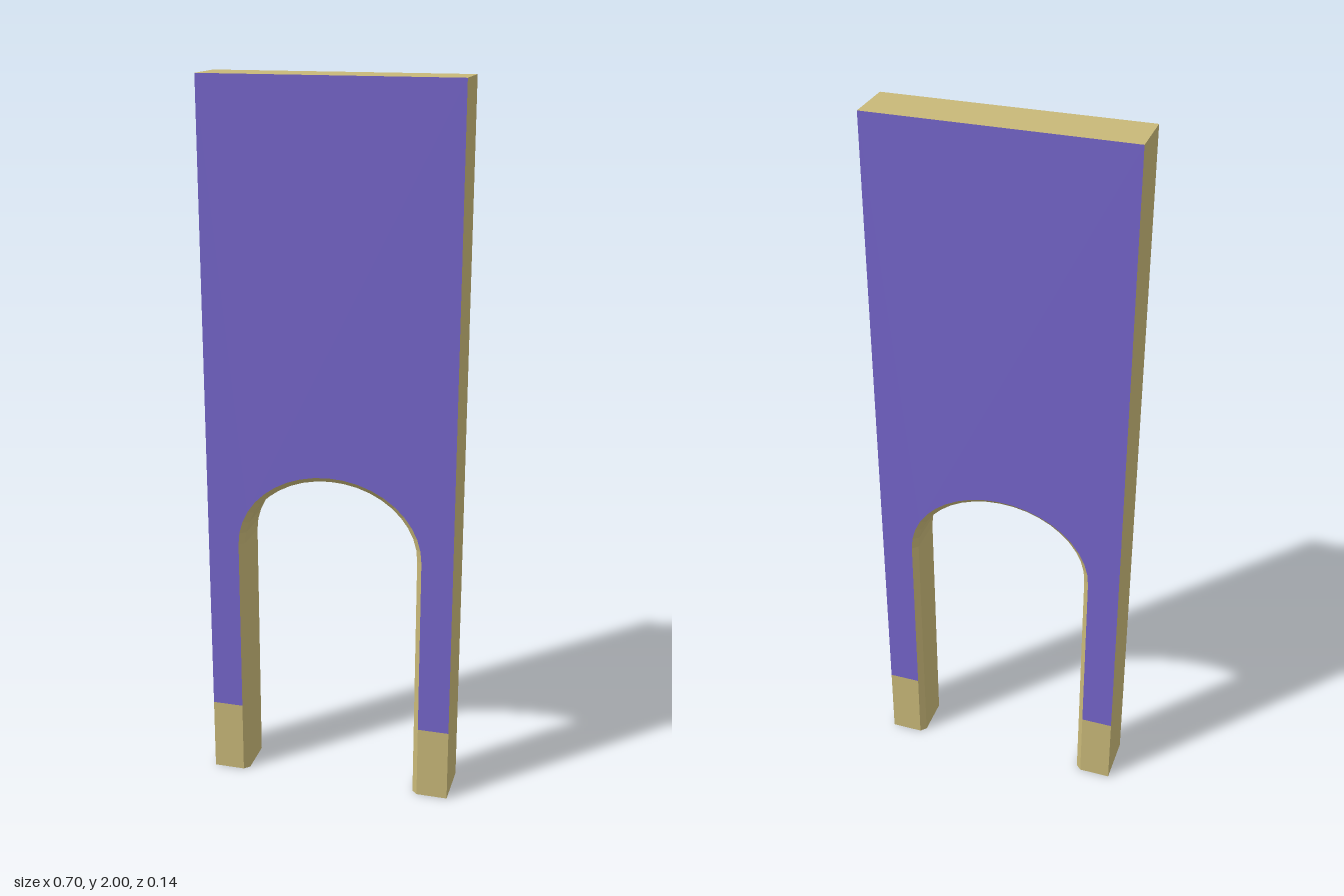
import * as THREE from 'three';

const W = 0.35, H = 2, D = 0.07;      // half width, height, half depth
const OPEN = 0.262, SPRING = 0.72, RISE = 0.222; // opening at the wall faces
const CHAMFER = 0.015, BASE = 0.21, SEGMENTS = 20;

const stone = new THREE.MeshStandardMaterial({ color: 0xc8b878 });
const paint = new THREE.MeshStandardMaterial({ color: 0x7565ca });

// Opening outline, from the foot at +x over the arch to the foot at -x
function archOutline(inset, yBottom = 0) {
  const points = [new THREE.Vector2(OPEN - inset, yBottom)];
  for (let i = 0; i <= SEGMENTS; i++) {
    const a = (Math.PI * i) / SEGMENTS;
    points.push(new THREE.Vector2((OPEN - inset) * Math.cos(a), SPRING + (RISE - inset) * Math.sin(a)));
  }
  points.push(new THREE.Vector2(-(OPEN - inset), yBottom));
  return points;
}

// Chamfered lining: a cross-section swept along the opening
function liningGeometry() {
  const section = [[0, -D], [CHAMFER, CHAMFER - D], [CHAMFER, D - CHAMFER], [0, D]];
  const rails = section.map(([inset, z]) => archOutline(inset).map((p) => [p.x, p.y, z]));
  const pos = [];
  for (let j = 0; j < 3; j++) {
    for (let i = 0; i < rails[0].length - 1; i++) {
      const a = rails[j][i], b = rails[j][i + 1], c = rails[j + 1][i + 1], d = rails[j + 1][i];
      pos.push(...a, ...d, ...c, ...a, ...c, ...b);
    }
  }
  const g = new THREE.BufferGeometry();
  g.setAttribute('position', new THREE.Float32BufferAttribute(pos, 3));
  g.computeVertexNormals();
  return g;
}

export function createModel() {
  const group = new THREE.Group();
  const add = (name, geometry, material) => {
    const mesh = new THREE.Mesh(geometry, material);
    mesh.name = name;
    group.add(mesh);
  };

  const panel = new THREE.Shape([
    new THREE.Vector2(-W, BASE), new THREE.Vector2(-W, H),
    new THREE.Vector2(W, H), new THREE.Vector2(W, BASE),
    ...archOutline(0, BASE),
  ]);
  // Underside of one leg, in x and z
  const sole = new THREE.Shape([
    [W, -D], [W, D], [OPEN, D], [OPEN - CHAMFER, D - CHAMFER],
    [OPEN - CHAMFER, CHAMFER - D], [OPEN, -D],
  ].map(([x, z]) => new THREE.Vector2(x, z)));

  // Painted faces and bare leg bases, front and back
  for (const [side, turn] of [['front', 0], ['back', Math.PI]]) {
    add(side + 'Panel', new THREE.ShapeGeometry(panel).translate(0, 0, D).rotateY(turn), paint);
    for (const s of [-1, 1]) {
      const base = new THREE.PlaneGeometry(W - OPEN, BASE);
      base.translate((s * (W + OPEN)) / 2, BASE / 2, D).rotateY(turn);
      add(side + 'LegBase', base, stone);
    }
  }

  // Outer edges and leg undersides
  for (const [side, turn] of [['left', 0], ['right', Math.PI]]) {
    const edge = new THREE.PlaneGeometry(2 * D, H).rotateY(Math.PI / 2).translate(W, H / 2, 0);
    add(side + 'Edge', edge.rotateY(turn), stone);
    add(side + 'Sole', new THREE.ShapeGeometry(sole).rotateX(Math.PI / 2).rotateY(turn), stone);
  }
  add('topEdge', new THREE.PlaneGeometry(2 * W, 2 * D).rotateX(-Math.PI / 2).translate(0, H, 0), stone);
  add('archLining', liningGeometry(), stone);
  return group;
}
